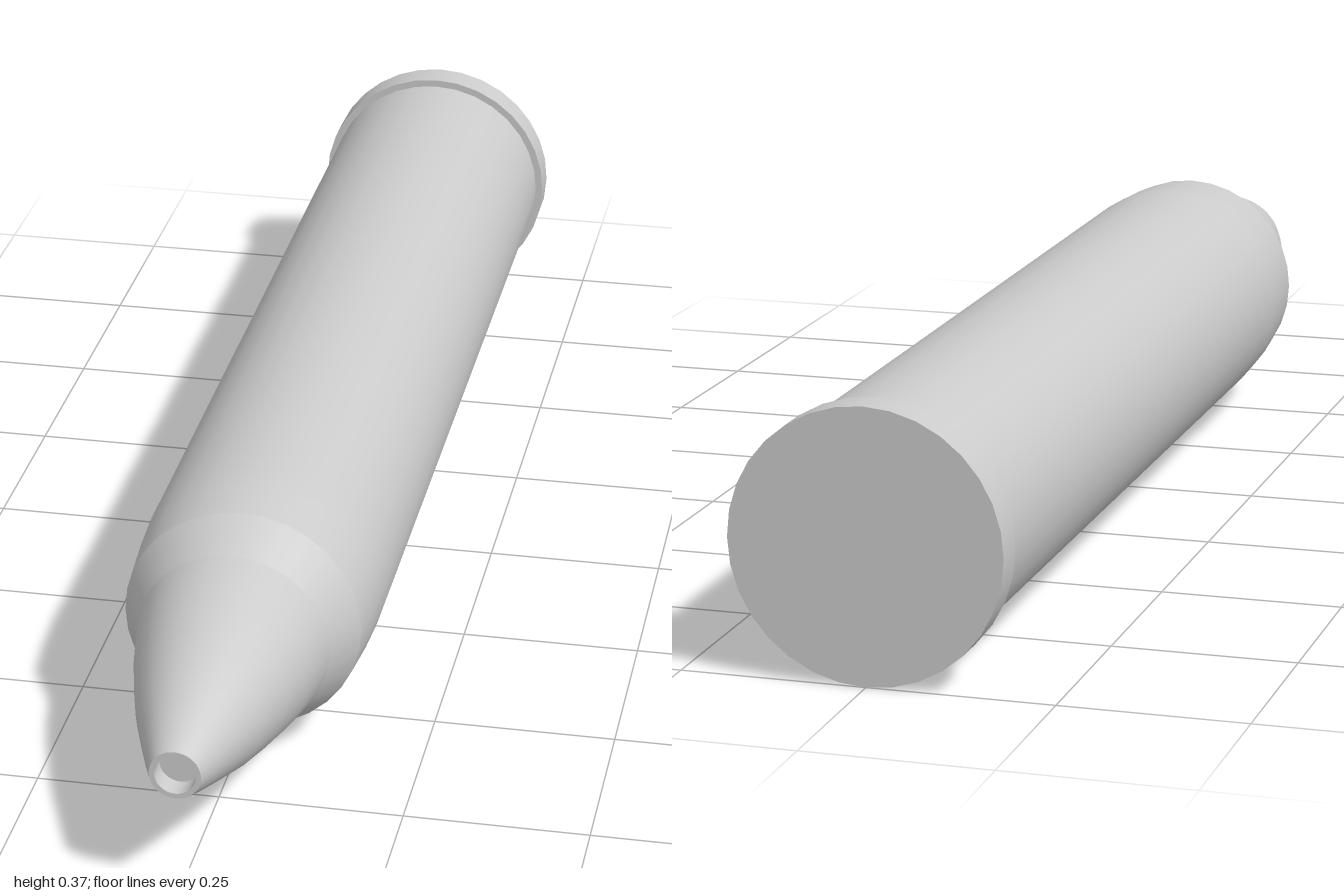
import * as THREE from 'three';

const SIDES = 32;
const AXIS_Y = 0.183;

export function createModel() {
  const group = new THREE.Group();
  const material = new THREE.MeshStandardMaterial({ color: 0xcccccc });

  // Turns a profile of [radius, z] points, back to front, around the long axis
  function turned(name, profile) {
    const points = profile.map(([r, z]) => new THREE.Vector2(r, z));
    const geometry = new THREE.LatheGeometry(points, SIDES);
    geometry.rotateX(Math.PI / 2);
    const mesh = new THREE.Mesh(geometry, material);
    mesh.name = name;
    mesh.position.y = AXIS_Y;
    group.add(mesh);
  }

  // Rim at the back: flat base, edge band and front ledge
  turned('rimBase', [[0, -1], [0.183, -1]]);
  turned('rimEdge', [[0.183, -1], [0.183, -0.95]]);
  turned('rimLedge', [[0.183, -0.95], [0.171, -0.95]]);

  // Long casing, drawn in slightly towards the shoulder
  turned('casing', [[0.172, -0.95], [0.172, 0.45], [0.169, 0.52], [0.163, 0.59]]);
  turned('shoulder', [[0.163, 0.59], [0.132, 0.655]]);

  // Curved nose with a small flat lip and a shallow hollow
  turned('nose', [
    [0.132, 0.655], [0.118, 0.73], [0.101, 0.8], [0.083, 0.865],
    [0.064, 0.92], [0.046, 0.97], [0.034, 1],
  ]);
  turned('tipLip', [[0.034, 1], [0.027, 1]]);
  turned('tipHollow', [[0.027, 1], [0.027, 0.97]]);
  turned('tipFloor', [[0.027, 0.97], [0, 0.97]]);

  return group;
}
